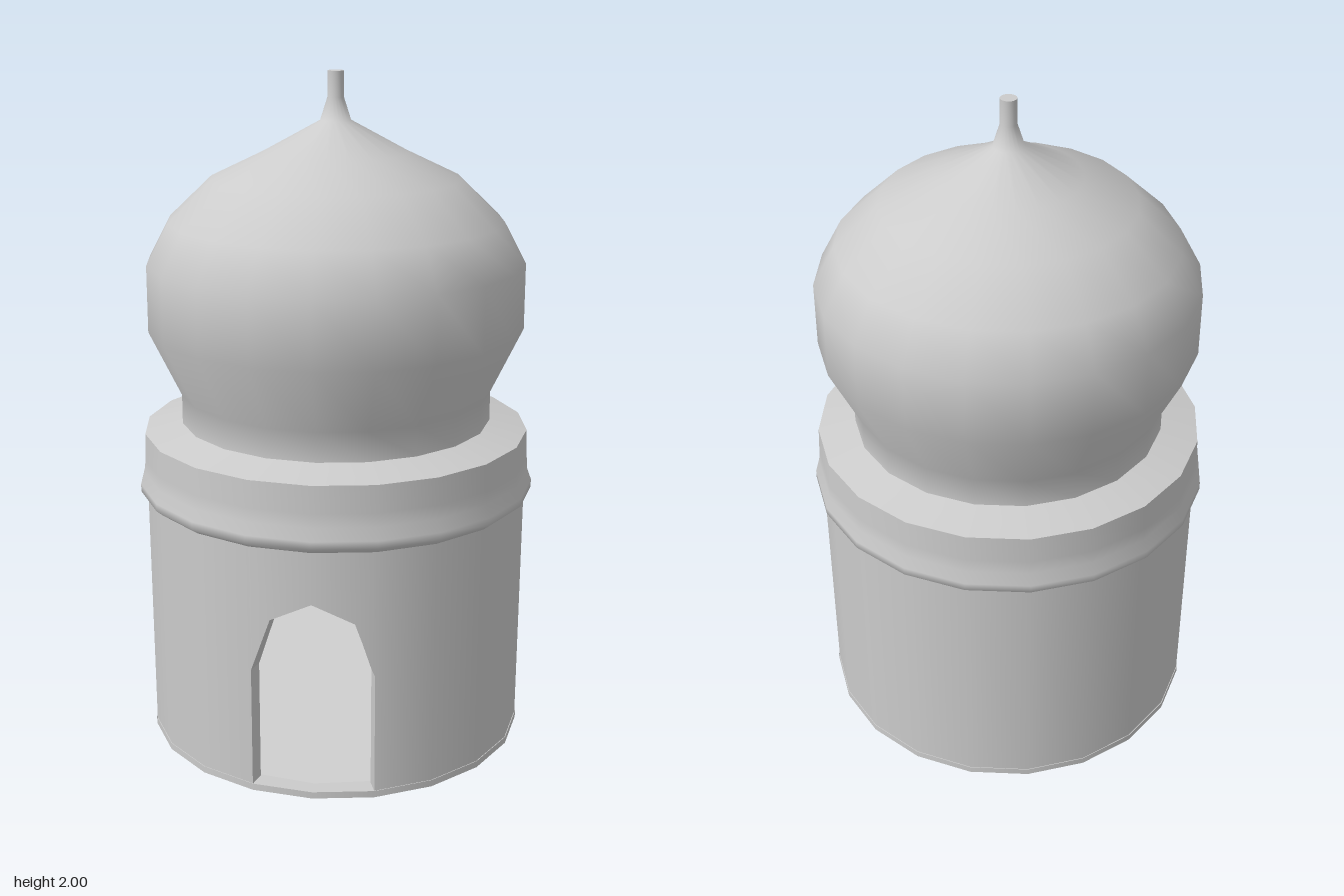
import * as THREE from 'three';

const SIDES = 20, STEP = Math.PI * 2 / SIDES;
const R = 0.57, INNER = 0.52, BAND = 0.755, SILL = 0.02;
const mat = new THREE.MeshStandardMaterial({ color: 0xcccccc, side: THREE.DoubleSide });

export function createModel() {
  const group = new THREE.Group();
  const add = (name, geo) => {
    const mesh = new THREE.Mesh(geo, mat);
    mesh.name = name;
    group.add(mesh);
    return mesh;
  };
  // Revolved section; each call is one smooth stretch, so joints stay sharp
  const lathe = (name, pts, start = 0, count = SIDES) => add(name, new THREE.LatheGeometry(
    pts.map(p => new THREE.Vector2(...p)), count, start * STEP, count * STEP));

  // A point on the faceted drum: u counts facets from the front centre line
  const onWall = (u, y, r) => new THREE.Vector3(
    r * u * Math.sin(STEP), y, r * (1 - Math.abs(u) * (1 - Math.cos(STEP))));

  // Drum wall, leaving out the two front facets for the doorway
  lathe('drumWall', [[R - 0.002, SILL], [R + 0.002, BAND]], 1, SIDES - 2);
  lathe('drumInnerWall', [[INNER, SILL], [INNER, BAND]], 1, SIDES - 2);
  lathe('drumFoot', [[R, 0], [R, SILL]]);

  // Wall above the pointed doorway, one facet per side, outside and inside
  for (const s of [-1, 1]) for (const r of [R, INNER]) {
    const shape = new THREE.Shape([[0, 0.6], [0.68, 0.54], [1, 0.38], [1, BAND], [0, BAND]]
      .map(([u, y]) => new THREE.Vector2(s * u, y)));
    const geo = new THREE.ShapeGeometry(shape);
    const pos = geo.attributes.position, nor = geo.attributes.normal;
    for (let i = 0; i < pos.count; i++) {
      const a = pos.getX(i) * STEP;
      const p = onWall(pos.getX(i), pos.getY(i), r);
      pos.setXYZ(i, p.x, p.y, p.z);
      nor.setXYZ(i, Math.sin(a), 0, Math.cos(a));
    }
    add('wallAboveDoor', geo);
  }

  // Door reveal joining the outer and inner outlines, sill included
  const outline = [[0, SILL], [1, SILL], [1, 0.38], [0.68, 0.54], [0, 0.6],
    [-0.68, 0.54], [-1, 0.38], [-1, SILL]];
  const verts = [];
  outline.forEach(([u, y], i) => {
    const [u2, y2] = outline[(i + 1) % outline.length];
    const a = onWall(u, y, R), b = onWall(u2, y2, R);
    const c = onWall(u2, y2, INNER), d = onWall(u, y, INNER);
    verts.push(a, b, c, a, c, d);
  });
  const reveal = new THREE.BufferGeometry().setFromPoints(verts);
  reveal.computeVertexNormals();
  add('doorReveal', reveal);

  // Underside, and a floor inside rising gently to the back
  add('base', new THREE.CircleGeometry(R, SIDES).rotateX(Math.PI / 2));
  const floor = new THREE.CircleGeometry(INNER, SIDES).rotateX(-Math.PI / 2);
  const fp = floor.attributes.position;
  for (let i = 0; i < fp.count; i++) fp.setY(i, SILL + 0.18 * (INNER - fp.getZ(i)) / (2 * INNER));
  floor.computeVertexNormals();
  add('floor', floor);

  // Moulded band, cornice and ledge
  lathe('band', [[R + 0.002, BAND], [0.593, 0.772], [0.593, 0.795], [0.58, 0.83],
    [0.578, 0.87], [0.575, 0.95]]);
  lathe('ledge', [[0.575, 0.95], [0.463, 0.978]]);

  // Onion dome running up into the spire
  lathe('dome', [[0.463, 0.978], [0.463, 1.065], [0.556, 1.26], [0.556, 1.455], [0.492, 1.575],
    [0.366, 1.695], [0.21, 1.77], [0.045, 1.86], [0.024, 1.925], [0.024, 2]]);
  add('spireTop', new THREE.CircleGeometry(0.024, SIDES).rotateX(-Math.PI / 2)).position.y = 2;

  // Vault inside the dome
  lathe('innerVault', [[INNER, BAND], [INNER, 0.92], [0.415, 0.95], [0.415, 1.07], [0.506, 1.27],
    [0.506, 1.44], [0.45, 1.54], [0.33, 1.65], [0.19, 1.72], [0, 1.81]]);

  return group;
}
